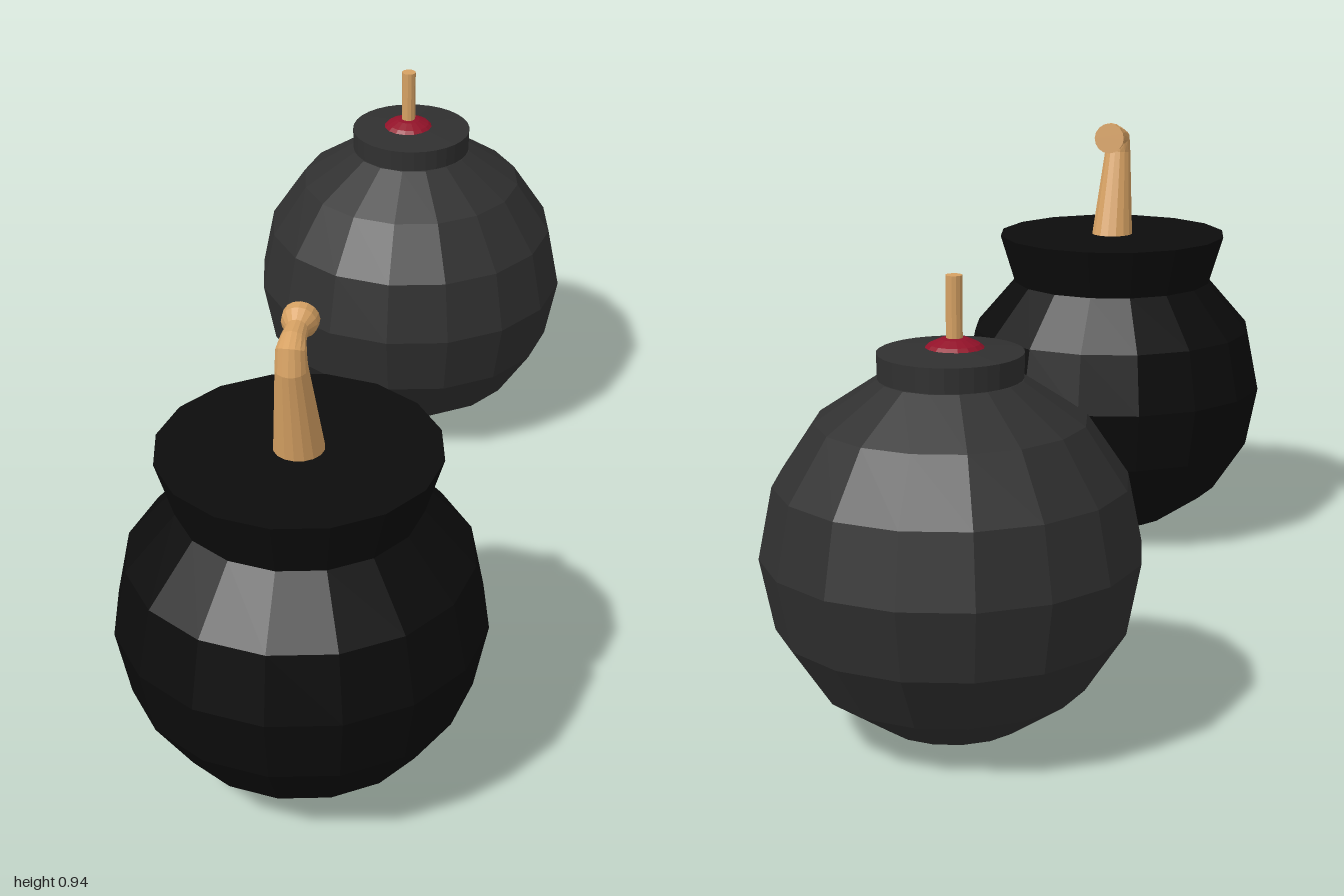
import * as THREE from 'three';

const flat = (name, color) => {
  const m = new THREE.MeshStandardMaterial({ color, flatShading: true });
  m.name = name;
  return m;
};

// Lathe from [radius, height] pairs, bottom to top
function turned(name, profile, sides, material) {
  const geo = new THREE.LatheGeometry(profile.map(([r, y]) => new THREE.Vector2(r, y)), sides);
  const mesh = new THREE.Mesh(geo, material);
  mesh.name = name;
  return mesh;
}

// Rings of a sphere standing on the ground, from the bottom pole up
function sphereRings(radius, count) {
  return Array.from({ length: count }, (_, i) => {
    const a = (i * Math.PI) / 8;
    return [radius * Math.sin(a), radius * (1 - Math.cos(a))];
  });
}

// Round sections [x, y, z, radius, tilt] joined in a bent tube with a closed end
function bentTube(sections, sides) {
  const pos = [], index = [];
  for (const [x, y, z, r, tilt] of sections) {
    for (let j = 0; j < sides; j++) {
      const a = (j / sides) * Math.PI * 2;
      const s = r * Math.sin(a);
      pos.push(x + r * Math.cos(a), y - s * Math.sin(tilt), z - s * Math.cos(tilt));
    }
  }
  for (let i = 0; i < sections.length - 1; i++) {
    for (let j = 0; j < sides; j++) {
      const k = (j + 1) % sides;
      const a = i * sides + j, b = i * sides + k;
      index.push(a, b, b + sides, a, b + sides, a + sides);
    }
  }
  const last = (sections.length - 1) * sides;
  for (let j = 1; j < sides - 1; j++) index.push(last, last + j, last + j + 1);
  const geo = new THREE.BufferGeometry();
  geo.setAttribute('position', new THREE.Float32BufferAttribute(pos, 3));
  geo.setIndex(index);
  geo.computeVertexNormals();
  return geo;
}

export function createModel() {
  const black = flat('black', 0x0c0c0c);
  const grey = flat('charcoal', 0x303030);
  const tan = flat('fuse tan', 0xd6a163);
  const red = flat('dark red', 0x921229);
  const model = new THREE.Group();
  model.name = 'bombs';

  // Front bomb: body with a flared neck
  const front = new THREE.Group();
  front.name = 'neckedBomb';
  front.position.z = 0.66;
  front.add(turned('neckedBody', [...sphereRings(0.34, 6), [0.222, 0.577]], 16, black));
  front.add(turned('flaredNeck', [[0.222, 0.577], [0.255, 0.684], [0, 0.684]], 16, black));

  // Bent fuse with a flared tip
  const fuse = new THREE.Mesh(bentTube([
    [0, 0.67, -0.003, 0.047, -0.15],
    [-0.003, 0.865, 0.04, 0.029, -0.1],
    [-0.004, 0.897, 0.036, 0.027, 0.6],
    [-0.005, 0.904, 0.012, 0.023, 1.2],
    [-0.005, 0.906, -0.022, 0.02, 1.42],
    [-0.005, 0.907, -0.042, 0.032, 1.47],
    [-0.005, 0.907, -0.062, 0.033, 1.47],
  ], 16), tan);
  fuse.name = 'bentFuse';
  front.add(fuse);

  // Back bomb: full sphere with a round cap
  const back = new THREE.Group();
  back.name = 'cappedBomb';
  back.position.z = -0.66;
  back.add(turned('roundBody', sphereRings(0.34, 9), 16, grey));
  back.add(turned('cap', [[0, 0.655], [0.128, 0.655], [0.129, 0.7], [0.05, 0.708], [0, 0.709]], 32, grey));

  // Red mound and straight fuse on the cap
  const mound = turned('redMound', [[0.056, 0.704], [0.045, 0.714], [0.025, 0.723], [0, 0.727]], 16, red);
  const stick = new THREE.Mesh(new THREE.CylinderGeometry(0.015, 0.015, 0.125, 12), tan);
  stick.name = 'straightFuse';
  stick.position.y = 0.772;
  const top = new THREE.Group();
  top.name = 'capFuse';
  top.position.set(-0.006, 0, 0.004);
  top.add(mound, stick);
  back.add(top);

  model.add(front, back);
  return model;
}
